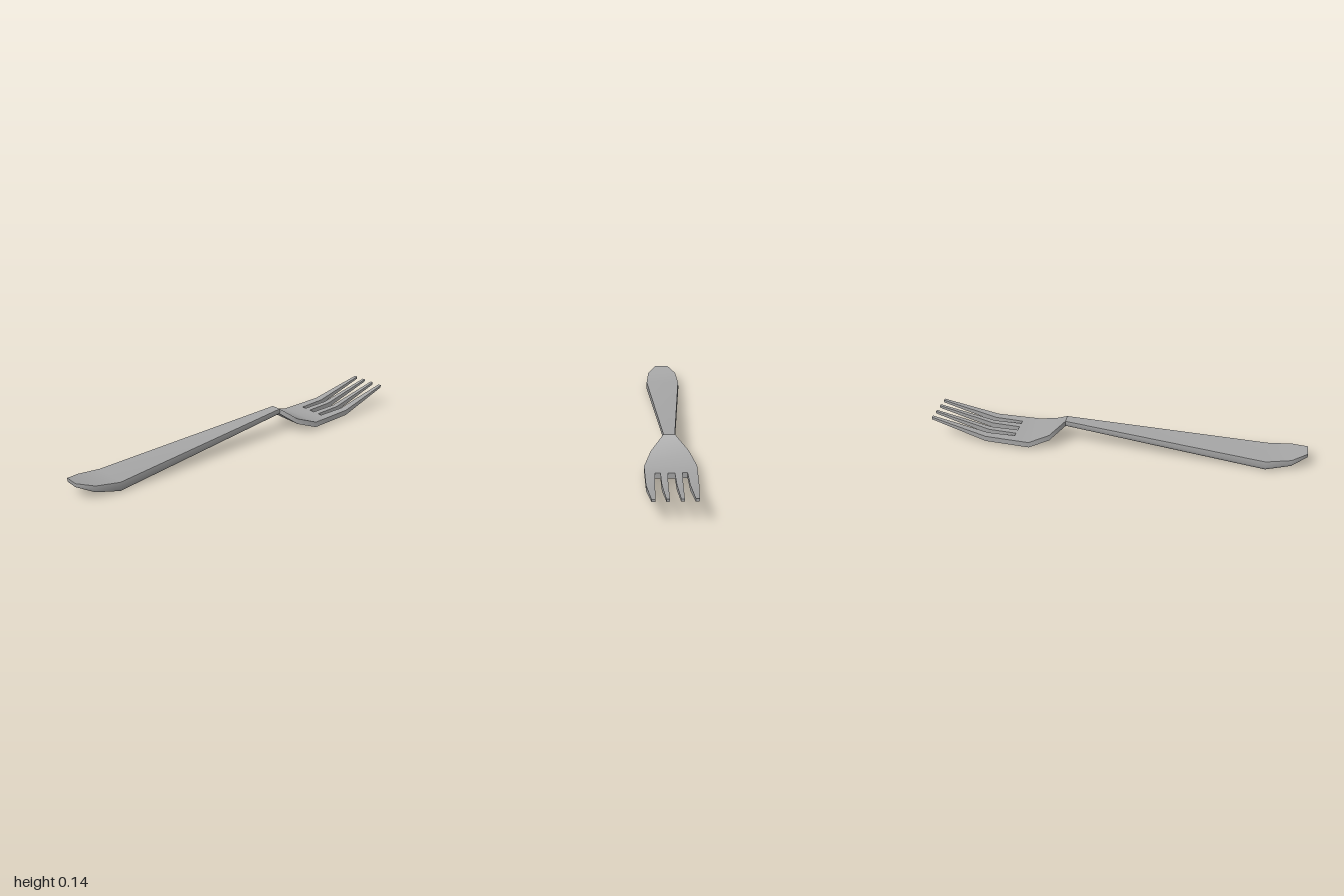
import * as THREE from 'three';
import { toCreasedNormals } from 'three/addons/utils/BufferGeometryUtils.js';

// Skin a row of matching cross-sections running from +z to -z.
// Each section is a list of [x, y, z], counter-clockwise seen from +z.
function loft(sections, crease) {
  const n = sections[0].length;
  const index = [];
  for (let k = 0; k < sections.length - 1; k++) {
    for (let i = 0; i < n; i++) {
      const j = (i + 1) % n;
      const a = k * n + i, b = k * n + j, c = b + n, d = a + n;
      index.push(a, d, b, b, d, c);
    }
  }
  const last = (sections.length - 1) * n;
  for (let i = 1; i < n - 1; i++) {
    index.push(0, i, i + 1);
    index.push(last, last + i + 1, last + i);
  }
  const geometry = new THREE.BufferGeometry();
  geometry.setAttribute('position', new THREE.Float32BufferAttribute(sections.flat(2), 3));
  geometry.setIndex(index);
  return toCreasedNormals(geometry, crease);
}

// Rectangular section: left x, right x, bottom y, top y
const slab = (z, l, r, b, t) => [[l, b, z], [r, b, z], [r, t, z], [l, t, z]];

// Handle section: flat top, sides rounding into the underside
function handleSection([z, w, b, t]) {
  const h = t - b, m = b + 0.3 * h;
  const under = w - 0.15 * h, top = w - 0.06 * h;
  return [[-under, b, z], [under, b, z], [w, m, z], [top, t, z], [-top, t, z], [-w, m, z]];
}

export function createModel() {
  const steel = new THREE.MeshStandardMaterial({ color: 0xa6a6a6 });
  steel.name = 'steel';
  const fork = new THREE.Group();
  fork.name = 'fork';
  const add = (name, geometry) => {
    const mesh = new THREE.Mesh(geometry, steel);
    mesh.name = name;
    fork.add(mesh);
  };

  // Handle: z, half width, bottom, top
  add('handle', loft([
    [1, 0.04, 0.065, 0.084],
    [0.92, 0.086, 0.03, 0.064],
    [0.79, 0.099, 0, 0.048],
    [-0.28, 0.03, 0.108, 0.137],
  ].map(handleSection), 1.3));

  // Palm: z, half width, bottom, top
  add('palm', loft([
    [-0.28, 0.03, 0.108, 0.137],
    [-0.355, 0.095, 0.05, 0.08],
    [-0.46, 0.13, 0.015, 0.045],
    [-0.55, 0.128, 0.019, 0.048],
  ].map(([z, w, b, t]) => slab(z, -w, w, b, t)), 0.9));

  // Tines: inner and outer x at the root, the bend and the tip
  const stations = [[-0.55, 0.019, 0.048], [-0.7, 0.025, 0.054], [-1, 0.117, 0.13]];
  const tines = {
    inner: [[0.017, 0.053], [0.02, 0.05], [0.024, 0.04]],
    outer: [[0.078, 0.128], [0.082, 0.124], [0.087, 0.105]],
  };
  for (const [name, spans] of Object.entries(tines)) {
    for (const side of [1, -1]) {
      const rows = stations.map(([z, b, t], i) => {
        const [near, far] = spans[i];
        return side > 0 ? slab(z, near, far, b, t) : slab(z, -far, -near, b, t);
      });
      add(name + (side > 0 ? 'TineLeft' : 'TineRight'), loft(rows, 0.9));
    }
  }
  return fork;
}
